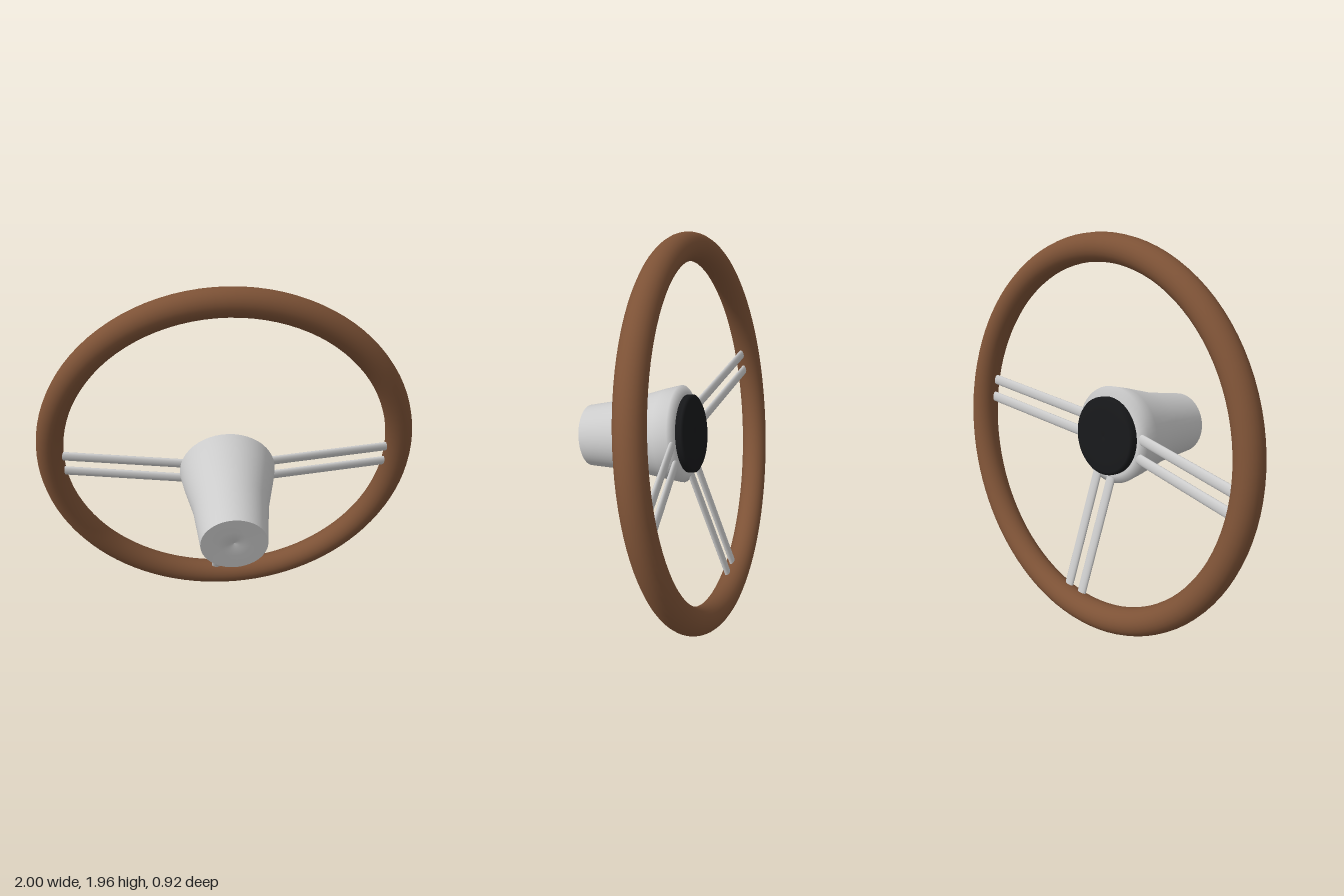
import * as THREE from 'three';

const mat = (color) => new THREE.MeshStandardMaterial({ color });

function add(parent, name, geometry, material) {
  const mesh = new THREE.Mesh(geometry, material);
  mesh.name = name;
  parent.add(mesh);
  return mesh;
}

// Lathe around the wheel axis (local z); points are [radius, position along axis]
function turned(points) {
  const profile = points.map(([r, w]) => new THREE.Vector2(r, w));
  return new THREE.LatheGeometry(profile, 48).rotateX(Math.PI / 2);
}

export function createModel() {
  const model = new THREE.Group();
  model.name = 'steeringWheel';
  const wood = mat(0x7d5236);
  const metal = mat(0xcccccc);
  const black = mat(0x17181a);

  // Everything is built in the plane of the wheel, then tilted
  const wheel = new THREE.Group();
  wheel.name = 'wheel';
  wheel.position.set(0, 0.98, -0.2);
  wheel.rotation.x = 0.207;
  model.add(wheel);

  add(wheel, 'rim', new THREE.TorusGeometry(0.93, 0.07, 24, 96), wood);

  // Tapered hub with a bevelled wide end
  add(wheel, 'hub', turned([
    [0, 0.09], [0.21, 0.09], [0.25, 0.117], [0.235, 0.2],
    [0.19, 0.4], [0.163, 0.643],
  ]), metal);
  add(wheel, 'hubEnd', turned([
    [0.163, 0.643], [0.08, 0.643], [0.03, 0.641], [0, 0.633],
  ]), metal);

  // Dark cap on the wide end
  add(wheel, 'hornButton', turned([
    [0, 0.055], [0.03, 0.052], [0.12, 0.051], [0.185, 0.053], [0.2, 0.062], [0.2, 0.095],
  ]), black);

  // Three pairs of flattened bars, sloping from the hub to the rim
  const inner = { r: 0.19, w: 0.108 };
  const outer = { r: 0.89, w: 0.01 };
  const length = Math.hypot(outer.r - inner.r, outer.w - inner.w);
  const slope = Math.atan2(inner.w - outer.w, outer.r - inner.r);
  const bar = new THREE.CylinderGeometry(0.0275, 0.0275, length, 20);
  bar.scale(1, 1, 0.5);
  bar.rotateX(-slope);
  bar.translate(0, (inner.r + outer.r) / 2, (inner.w + outer.w) / 2);

  const directions = { leftSpoke: -Math.PI / 2, rightSpoke: Math.PI / 2, lowerSpoke: Math.PI };
  for (const [name, angle] of Object.entries(directions)) {
    const spoke = new THREE.Group();
    spoke.name = name;
    spoke.rotation.z = angle;
    wheel.add(spoke);
    for (const side of [-1, 1]) {
      add(spoke, 'spokeBar', bar, metal).position.x = side * 0.05;
    }
  }
  return model;
}
